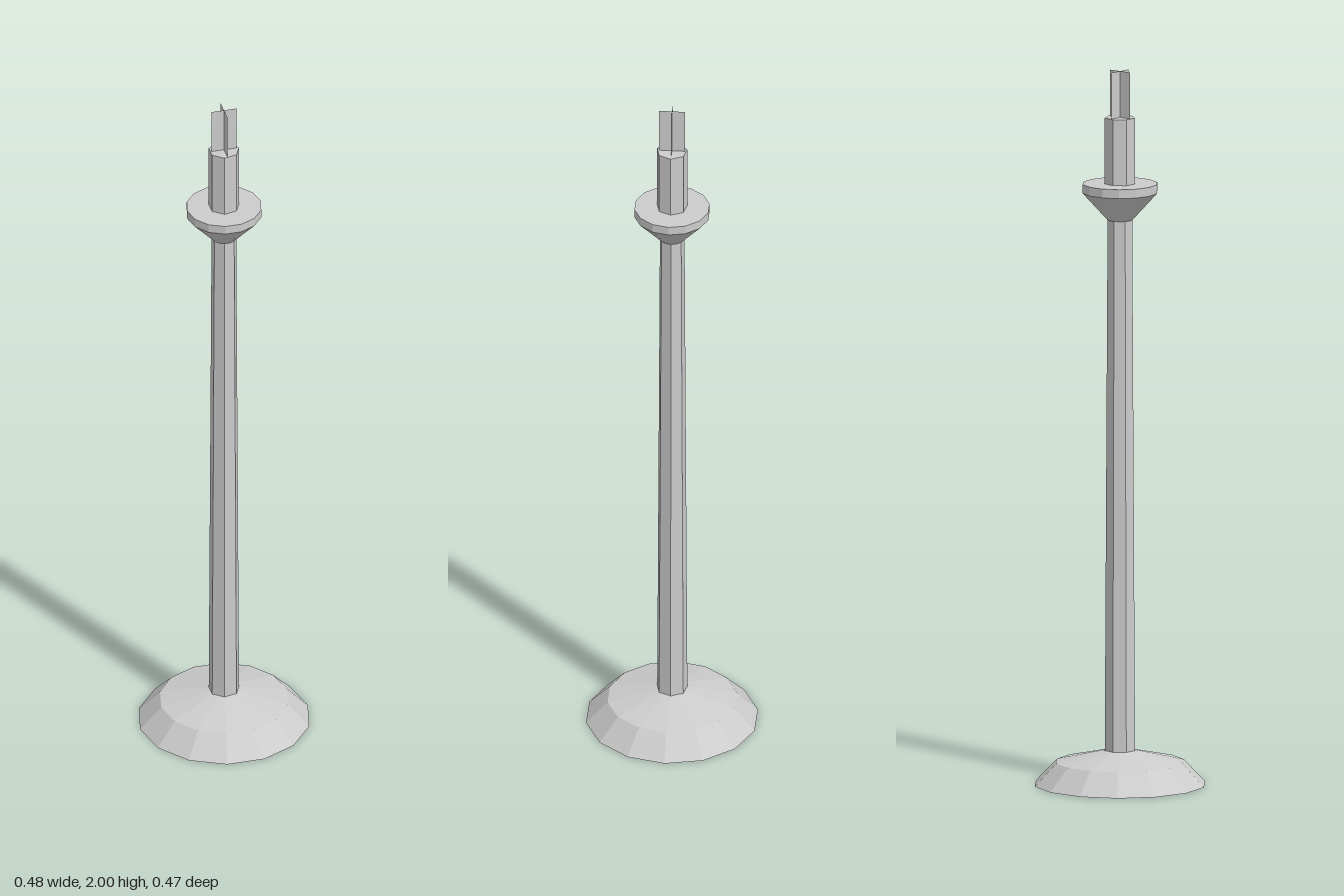
import * as THREE from 'three';

export function createModel() {
  const group = new THREE.Group();
  group.name = 'candleStand';
  const metal = new THREE.MeshStandardMaterial({ color: 0xcccccc, flatShading: true, side: THREE.DoubleSide });
  metal.name = 'light grey';

  function add(name, geometry, y = 0) {
    const mesh = new THREE.Mesh(geometry, metal);
    mesh.name = name;
    mesh.position.y = y;
    group.add(mesh);
    return mesh;
  }

  // Faceted solid from [radius, height] pairs, with one corner on +x
  function turned(name, profile, sides) {
    const points = profile.map(([r, y]) => new THREE.Vector2(r, y));
    return add(name, new THREE.LatheGeometry(points, sides, Math.PI / 2));
  }

  // Foot, tapered pole, drip cup and candle, from the ground up
  turned('base', [[0, 0], [0.24, 0], [0.18, 0.063], [0.04, 0.095], [0, 0.095]], 14);
  turned('pole', [[0.043, 0.09], [0.035, 1.59]], 7);
  turned('dripCup', [[0, 1.583], [0.035, 1.583], [0.105, 1.66], [0.105, 1.685], [0, 1.685]], 14);
  turned('candle', [[0.043, 1.68], [0.043, 1.87], [0, 1.87]], 7);

  // Two crossed upright planes for the flame
  for (const turn of [0, Math.PI / 2]) {
    add('flame', new THREE.PlaneGeometry(0.071, 0.13), 1.935).rotation.y = turn;
  }
  return group;
}
